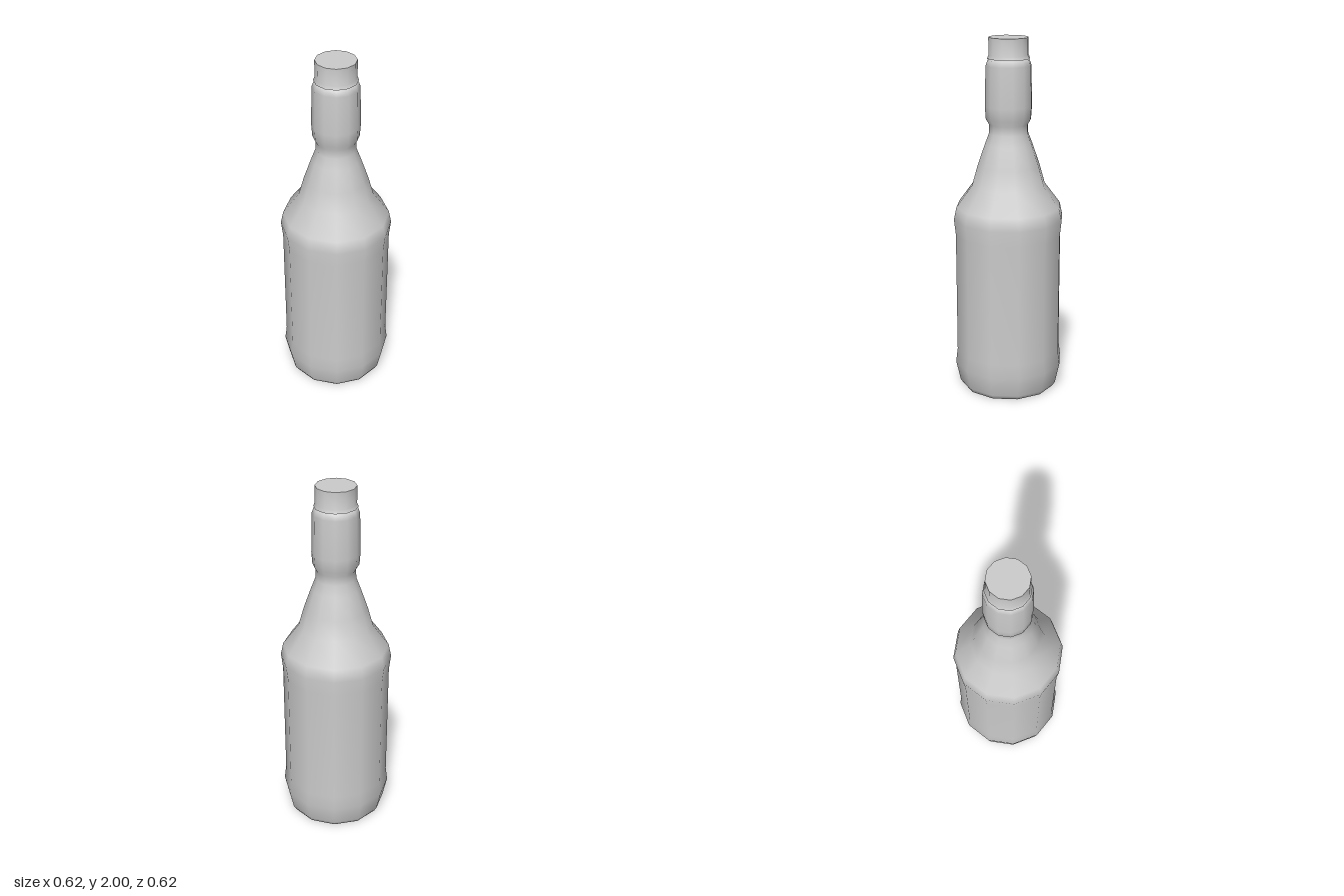
import * as THREE from 'three';
import { toCreasedNormals } from 'three/addons/utils/BufferGeometryUtils.js';

const SIDES = 12;
const material = new THREE.MeshStandardMaterial({ color: 0xcccccc });

// Revolve a [radius, height] profile, listed from the bottom up
function turned(name, profile, crease) {
  const points = profile.map(([r, y]) => new THREE.Vector2(r, y));
  let geometry = new THREE.LatheGeometry(points, SIDES);
  if (crease) geometry = toCreasedNormals(geometry, crease);
  const mesh = new THREE.Mesh(geometry, material);
  mesh.name = name;
  return mesh;
}

export function createModel() {
  const bottle = new THREE.Group();
  bottle.name = 'bottle';

  // Glass body: hollowed base, straight wall, shoulder, neck and collar
  bottle.add(turned('glassBody', [
    [0, 0.04], [0.2, 0.03], [0.25, 0.005], [0.27, 0], [0.285, 0.025],
    [0.31, 0.14], [0.3, 0.22], [0.3, 0.91], [0.31, 1.0], [0.295, 1.07],
    [0.206, 1.19], [0.175, 1.3], [0.133, 1.42], [0.11, 1.48],
    [0.108, 1.53], [0.126, 1.56], [0.131, 1.63], [0.126, 1.85],
    [0.115, 1.88], [0.095, 1.885],
  ]));

  // Cap with a small flared skirt and a flat top
  bottle.add(turned('cap', [
    [0.09, 1.885], [0.118, 1.887], [0.11, 1.905], [0.11, 2], [0, 2],
  ], 0.8));

  return bottle;
}
